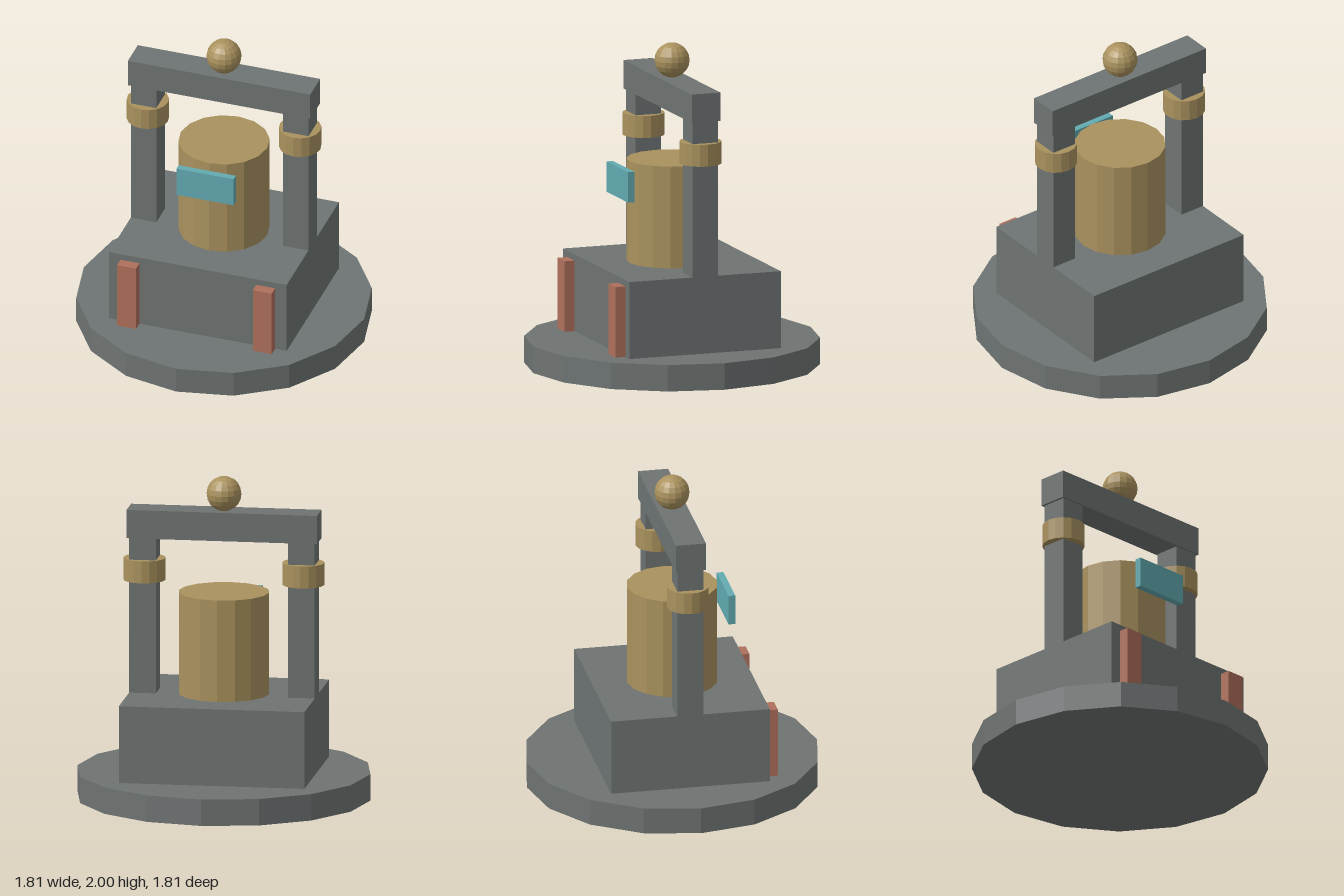
import * as THREE from 'three';

export function createModel() {
  const model = new THREE.Group();
  const mat = (name, color) => {
    const m = new THREE.MeshStandardMaterial({ color, flatShading: true });
    m.name = name;
    return m;
  };
  const stone = mat('grey stone', 0x6e7473);
  const brass = mat('brass', 0xaa925e);
  const teal = mat('teal', 0x62abb2);
  const clay = mat('clay red', 0xb0705c);

  const add = (name, geometry, material, x, y, z) => {
    const mesh = new THREE.Mesh(geometry, material);
    mesh.name = name;
    mesh.position.set(x, y, z);
    model.add(mesh);
  };
  // Box and upright cylinder given by their bottom and top heights
  const box = (name, material, w, d, y0, y1, x = 0, z = 0) =>
    add(name, new THREE.BoxGeometry(w, y1 - y0, d), material, x, (y0 + y1) / 2, z);
  const drum = (name, material, r, y0, y1, x = 0) =>
    add(name, new THREE.CylinderGeometry(r, r, y1 - y0, 16), material, x, (y0 + y1) / 2, 0);

  // Foot, plinth and central drum
  drum('base', stone, 0.907, 0, 0.165);
  box('plinth', stone, 1.15, 0.99, 0.165, 0.645);
  drum('centralDrum', brass, 0.28, 0.645, 1.28);

  // Floating panel in front of the drum
  box('frontPanel', teal, 0.37, 0.042, 1.06, 1.25, 0, 0.337);

  // Posts, collars and plinth strips on both sides
  for (const [side, s] of [['left', 1], ['right', -1]]) {
    box(side + 'Post', stone, 0.165, 0.165, 0.645, 1.613, s * 0.4925);
    drum(side + 'Collar', brass, 0.13, 1.34, 1.477, s * 0.4925);
    box(side + 'Strip', clay, 0.122, 0.065, 0.165, 0.605, s * 0.439, 0.5275);
  }

  // Crossbeam with finial ball
  box('crossbeam', stone, 1.18, 0.188, 1.613, 1.79);
  add('finialBall', new THREE.SphereGeometry(0.108, 16, 10), brass, 0, 1.892, 0);

  return model;
}
